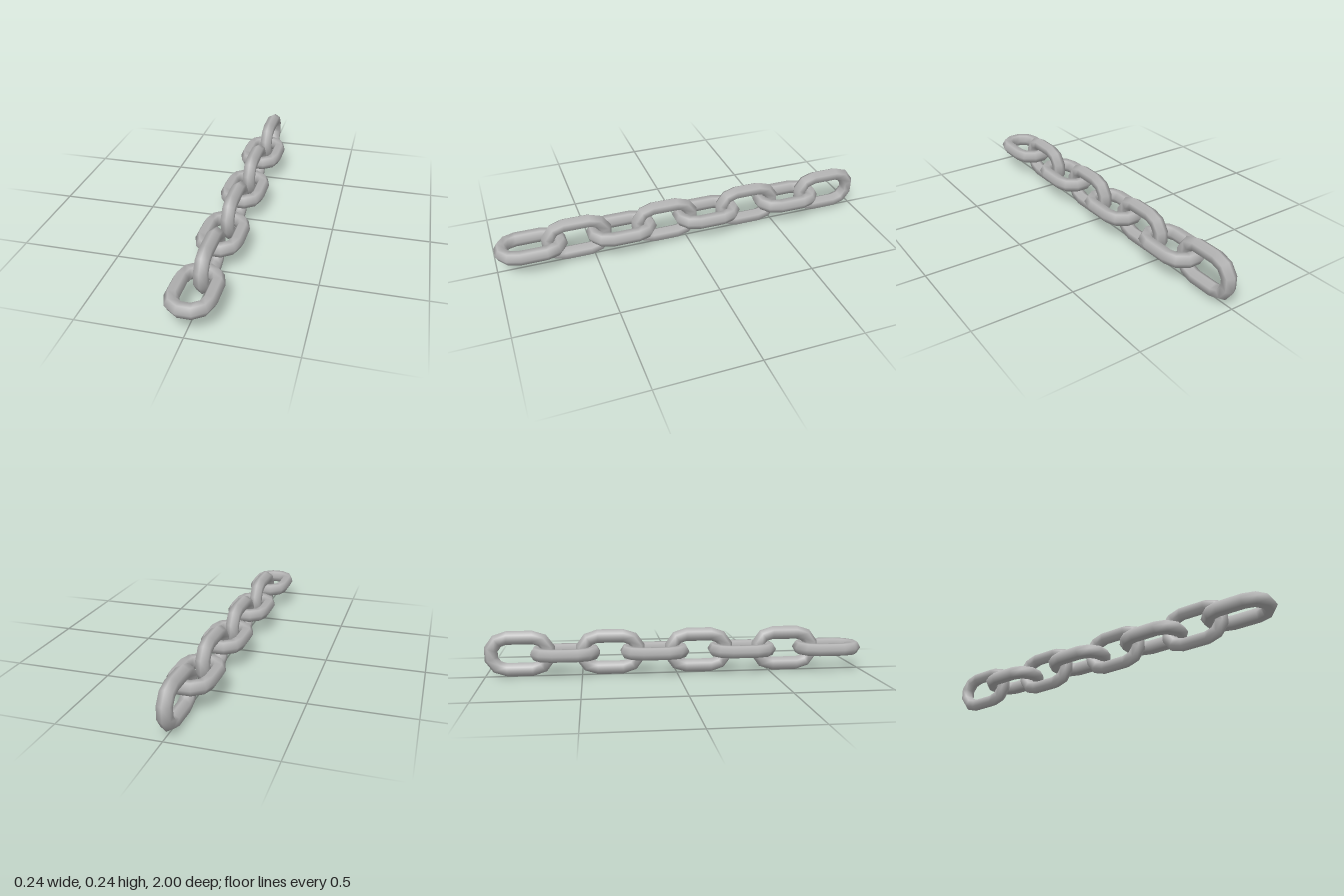
import * as THREE from 'three';
import { mergeGeometries } from 'three/addons/utils/BufferGeometryUtils.js';

const LINKS = 8;
const PITCH = 0.2343;   // spacing between link centres
const BEND = 0.084;     // centre-line radius of the rounded ends
const WIRE = 0.036;     // radius of the six-sided wire
const STRAIGHT = 0.066; // half length of the straight sides

// One link lying flat in the xz plane, long axis along z
function linkGeometry() {
  const parts = [];
  for (const side of [1, -1]) {
    // rounded end
    const end = new THREE.TorusGeometry(BEND, WIRE, 6, 5, Math.PI);
    end.translate(0, STRAIGHT, 0);
    if (side < 0) end.rotateZ(Math.PI);
    // straight side
    const bar = new THREE.CylinderGeometry(WIRE, WIRE, STRAIGHT * 2, 6, 1, true, Math.PI / 2);
    bar.translate(side * BEND, 0, 0);
    parts.push(end, bar);
  }
  return mergeGeometries(parts).rotateX(Math.PI / 2);
}

export function createModel() {
  const chain = new THREE.Group();
  chain.name = 'chain';
  const steel = new THREE.MeshStandardMaterial({ color: 0xb4b4b4 });
  steel.name = 'steel grey';
  const geometry = linkGeometry();

  // Links alternate between flat and upright, starting flat at the front
  for (let i = 0; i < LINKS; i++) {
    const upright = i % 2 === 1;
    const link = new THREE.Mesh(geometry, steel);
    link.name = (upright ? 'uprightLink' : 'flatLink') + (i + 1);
    link.position.set(0, BEND + WIRE, ((LINKS - 1) / 2 - i) * PITCH);
    if (upright) link.rotation.z = Math.PI / 2;
    chain.add(link);
  }
  return chain;
}
